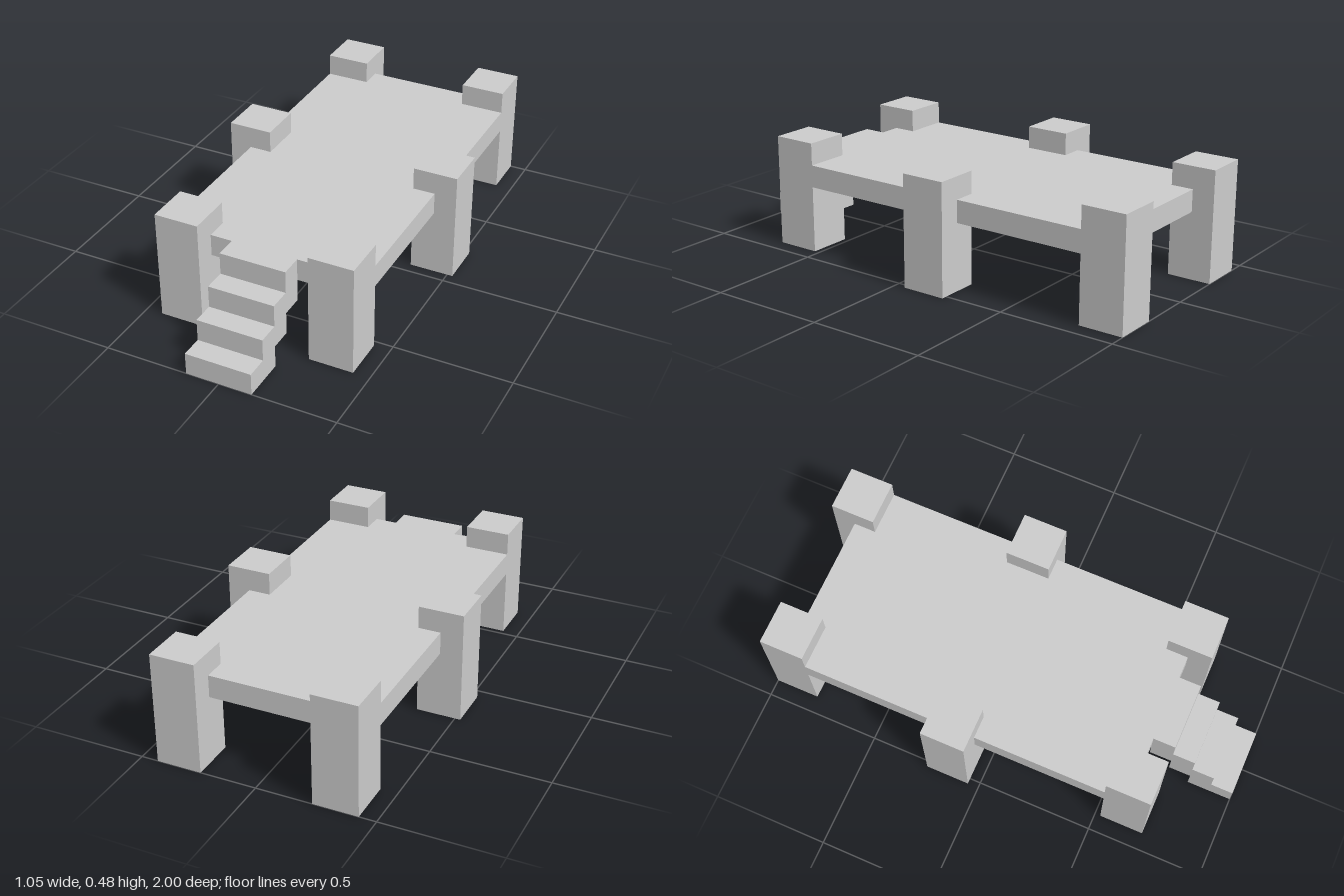
import * as THREE from 'three';

const U = 2 / 21; // one modular block

export function createModel() {
  const model = new THREE.Group();
  model.name = 'raisedPlatform';
  const material = new THREE.MeshStandardMaterial({ color: 0xcccccc, flatShading: true });

  // Box given by its size and the centre of its base, in blocks
  function block(name, [w, h, d], [x, y, z]) {
    const mesh = new THREE.Mesh(new THREE.BoxGeometry(w * U, h * U, d * U), material);
    mesh.position.set(x * U, (y + h / 2) * U, z * U);
    mesh.name = name;
    model.add(mesh);
  }

  // Deck slab
  block('deck', [9, 1, 16], [0, 3, -1.5]);

  // Three mirrored pairs of posts; the middle pair stands further out
  const posts = [['front', 3.5, 6.5], ['middle', 4.5, -1.5], ['back', 3.5, -9.5]];
  for (const [row, x, z] of posts) {
    block(row + 'LeftPost', [2, 5, 2], [x, 0, z]);
    block(row + 'RightPost', [2, 5, 2], [-x, 0, z]);
  }

  // Overlapping stair treads, with the top one meeting the deck
  for (let i = 0; i < 3; i++) {
    block('step' + (i + 1), [3, 1, 2], [0, i, 9.5 - i]);
  }
  block('topStep', [3, 1, 1], [0, 3, 7]);

  return model;
}
